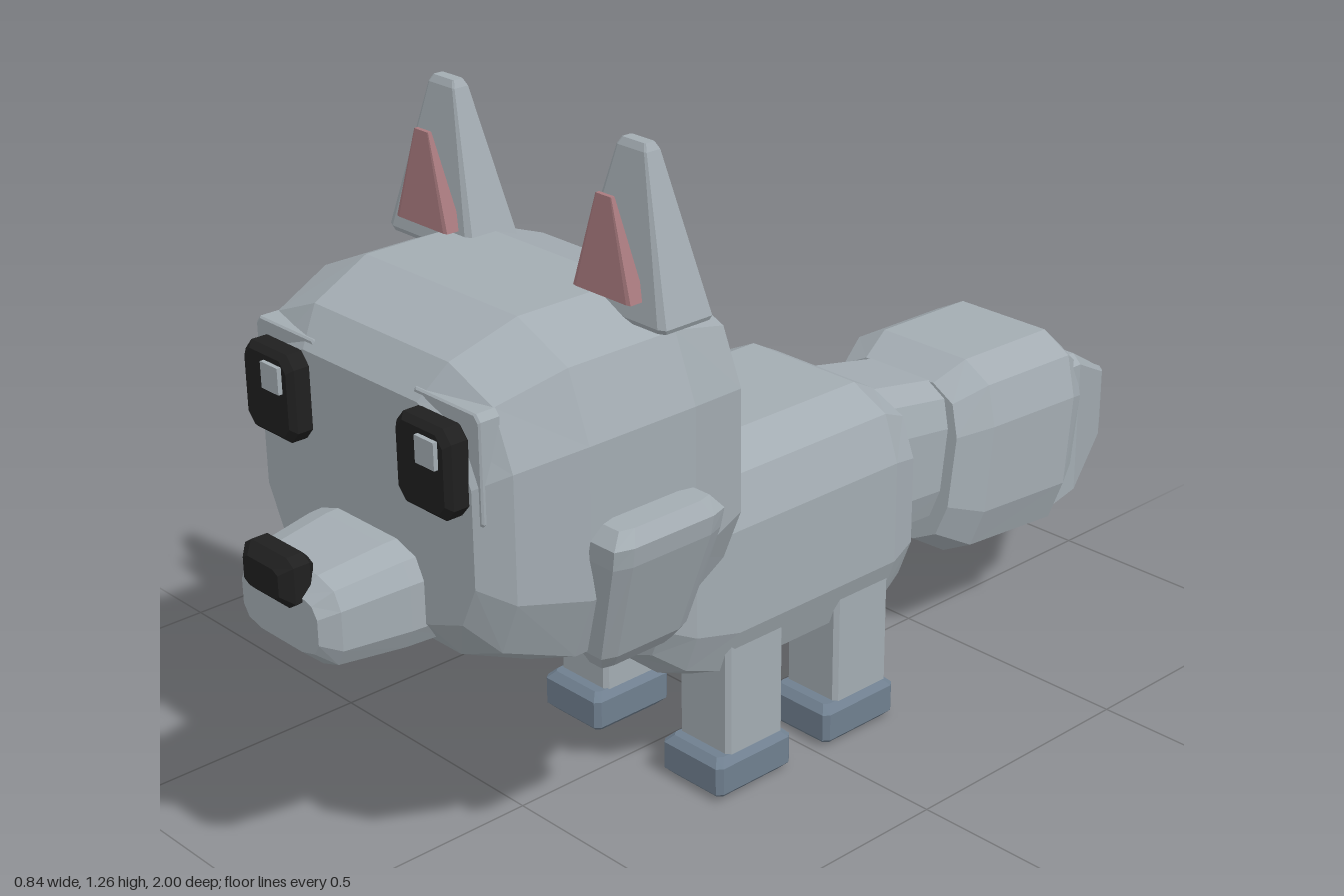
import * as THREE from 'three';

// Cross-section outlines, in units of their half sizes
const mirror4 = (q) => {
  const r = [...q].reverse();
  return [...q, ...r.map(([u, v]) => [-u, v]), ...q.map(([u, v]) => [-u, -v]), ...r.map(([u, v]) => [u, -v])];
};
const ROUND = mirror4([[1, 0.44], [0.87, 0.83], [0.54, 1]]);
const OCT = mirror4([[1, 0.72], [0.72, 1]]);
const SQUARE = mirror4([[1, 0.88], [0.88, 1]]);

// Faceted solid through sections along an axis ('y' or 'z').
// Each row: [position, centre u, centre v, half u, half v]; u is x, v is the other axis.
// skew slides the upper side of each section along the axis.
function loft(profile, axis, rows, skew = 0) {
  const rings = rows.map(([t, cu, cv, hu, hv]) => profile.map(([u, v]) => {
    const a = cu + u * hu, b = cv + v * hv, c = t + skew * v;
    return axis === 'z' ? new THREE.Vector3(a, b, c) : new THREE.Vector3(a, c, b);
  }));
  const tris = [], n = profile.length, last = rings.length - 1;
  for (let i = 0; i < last; i++) {
    for (let j = 0; j < n; j++) {
      const k = (j + 1) % n;
      const [a, b, c, d] = [rings[i][j], rings[i][k], rings[i + 1][k], rings[i + 1][j]];
      tris.push([a, b, c], [a, c, d]);
    }
  }
  for (let j = 1; j < n - 1; j++) {
    tris.push([rings[0][0], rings[0][j + 1], rings[0][j]]);
    tris.push([rings[last][0], rings[last][j], rings[last][j + 1]]);
  }
  // Turn all faces outward
  const centre = rings.flat().reduce((s, p) => s.add(p), new THREE.Vector3()).divideScalar(n * rings.length);
  let volume = 0;
  for (const [a, b, c] of tris) {
    const [p, q, r] = [a, b, c].map((w) => w.clone().sub(centre));
    volume += p.dot(q.cross(r));
  }
  const points = tris.flatMap(([a, b, c]) => (volume > 0 ? [a, b, c] : [a, c, b]));
  const geometry = new THREE.BufferGeometry().setFromPoints(points);
  geometry.computeVertexNormals();
  return geometry;
}

// Box with bevelled edges, given its centre, half sizes and bevel
function bevelBox(profile, axis, [x, y, z], [hx, hy, hz], bevel) {
  const [t, v, ht, hv] = axis === 'z' ? [z, y, hz, hy] : [y, z, hy, hz];
  return loft(profile, axis, [
    [t - ht, x, v, hx - bevel, hv - bevel], [t - ht + bevel, x, v, hx, hv],
    [t + ht - bevel, x, v, hx, hv], [t + ht, x, v, hx - bevel, hv - bevel],
  ]);
}

export function createModel() {
  const model = new THREE.Group();
  const material = (name, color) => {
    const m = new THREE.MeshStandardMaterial({ color });
    m.name = name;
    return m;
  };
  const fur = material('grey fur', 0xa3acb2);
  const pawColor = material('slate paws', 0x6f7f8f);
  const pink = material('inner ear pink', 0xa97b7f);
  const black = material('black', 0x1f1f1f);
  const add = (name, geometry, mat = fur) => {
    const mesh = new THREE.Mesh(geometry, mat);
    mesh.name = name;
    model.add(mesh);
  };

  // Head, muzzle and nose
  add('head', loft(ROUND, 'z', [
    [0.232, 0, 0.715, 0.27, 0.19], [0.275, 0, 0.715, 0.315, 0.25],
    [0.41, 0, 0.715, 0.352, 0.297], [0.63, 0, 0.715, 0.352, 0.297],
    [0.75, 0, 0.715, 0.315, 0.25], [0.795, 0, 0.715, 0.27, 0.19],
  ]));
  add('muzzle', loft(ROUND, 'z', [
    [0.75, 0, 0.56, 0.145, 0.092], [0.82, 0, 0.56, 0.14, 0.09],
    [0.94, 0, 0.557, 0.122, 0.077], [0.97, 0, 0.557, 0.1, 0.05],
  ]));
  add('nose', bevelBox(OCT, 'z', [0, 0.628, 0.967], [0.064, 0.043, 0.033], 0.018), black);

  // Body
  add('body', loft(ROUND, 'z', [
    [0.34, 0, 0.42, 0.19, 0.14], [0.285, 0, 0.42, 0.22, 0.19],
    [0.2, 0, 0.42, 0.237, 0.222], [-0.19, 0, 0.42, 0.237, 0.222],
    [-0.25, 0, 0.42, 0.222, 0.19], [-0.28, 0, 0.42, 0.19, 0.14],
  ]));

  // Tail in three pieces
  add('tailBase', loft(ROUND, 'z', [
    [-0.24, 0, 0.44, 0.13, 0.145], [-0.3, 0, 0.43, 0.143, 0.15], [-0.46, 0, 0.41, 0.135, 0.14],
  ]));
  add('tailMiddle', loft(ROUND, 'z', [
    [-0.43, 0, 0.395, 0.16, 0.155], [-0.5, 0, 0.39, 0.192, 0.193],
    [-0.73, 0, 0.38, 0.195, 0.2], [-0.785, 0, 0.377, 0.167, 0.16],
  ], -0.022));
  add('tailTip', loft(SQUARE, 'z', [
    [-0.72, 0, 0.375, 0.17, 0.16], [-0.8, 0, 0.375, 0.16, 0.152],
    [-0.965, 0, 0.355, 0.086, 0.078], [-0.998, 0, 0.357, 0.062, 0.06],
  ]));

  for (const s of [-1, 1]) {
    const side = s > 0 ? 'left' : 'right';

    // Ears with pink insides
    const ex = 0.2325 * s;
    add(side + 'Ear', loft(SQUARE, 'y', [
      [0.977, ex, 0.415, 0.108, 0.052], [0.985, ex, 0.415, 0.112, 0.055],
      [1.245, ex, 0.415, 0.034, 0.016], [1.257, ex, 0.415, 0.027, 0.01],
    ]));
    const ix = 0.2245 * s;
    add(side + 'InnerEar', loft(SQUARE, 'y', [
      [1.018, ix, 0.473, 0.067, 0.018], [1.18, ix, 0.478, 0.018, 0.004],
    ]), pink);

    // Cheek tufts, leaning outward
    add(side + 'Cheek', loft(OCT, 'y', [
      [0.715, 0.38 * s, 0.52, 0.025, 0.095], [0.69, 0.383 * s, 0.52, 0.038, 0.116],
      [0.655, 0.375 * s, 0.52, 0.04, 0.114], [0.465, 0.312 * s, 0.512, 0.036, 0.092],
      [0.435, 0.304 * s, 0.511, 0.02, 0.075],
    ]));

    // Eyes on raised patches, with a glint on the same side of each
    add(side + 'EyePatch', bevelBox(SQUARE, 'z', [0.203 * s, 0.827, 0.766], [0.082, 0.096, 0.021], 0.003));
    add(side + 'Eye', bevelBox(OCT, 'z', [0.198 * s, 0.826, 0.809], [0.066, 0.076, 0.025], 0.01), black);
    const glint = new THREE.BoxGeometry(0.046, 0.046, 0.016);
    glint.translate(0.198 * s + 0.022, 0.86, 0.834);
    add(side + 'EyeGlint', glint);

    // Legs and paws
    for (const [end, legZ, pawZ] of [['Front', 0.147, 0.158], ['Back', -0.123, -0.11]]) {
      add(side + end + 'Leg', bevelBox(SQUARE, 'y', [0.161 * s, 0.18, legZ], [0.063, 0.13, 0.069], 0.012));
      add(side + end + 'Paw', bevelBox(SQUARE, 'y', [0.161 * s, 0.04, pawZ], [0.075, 0.04, 0.091], 0.014), pawColor);
    }
  }
  return model;
}
